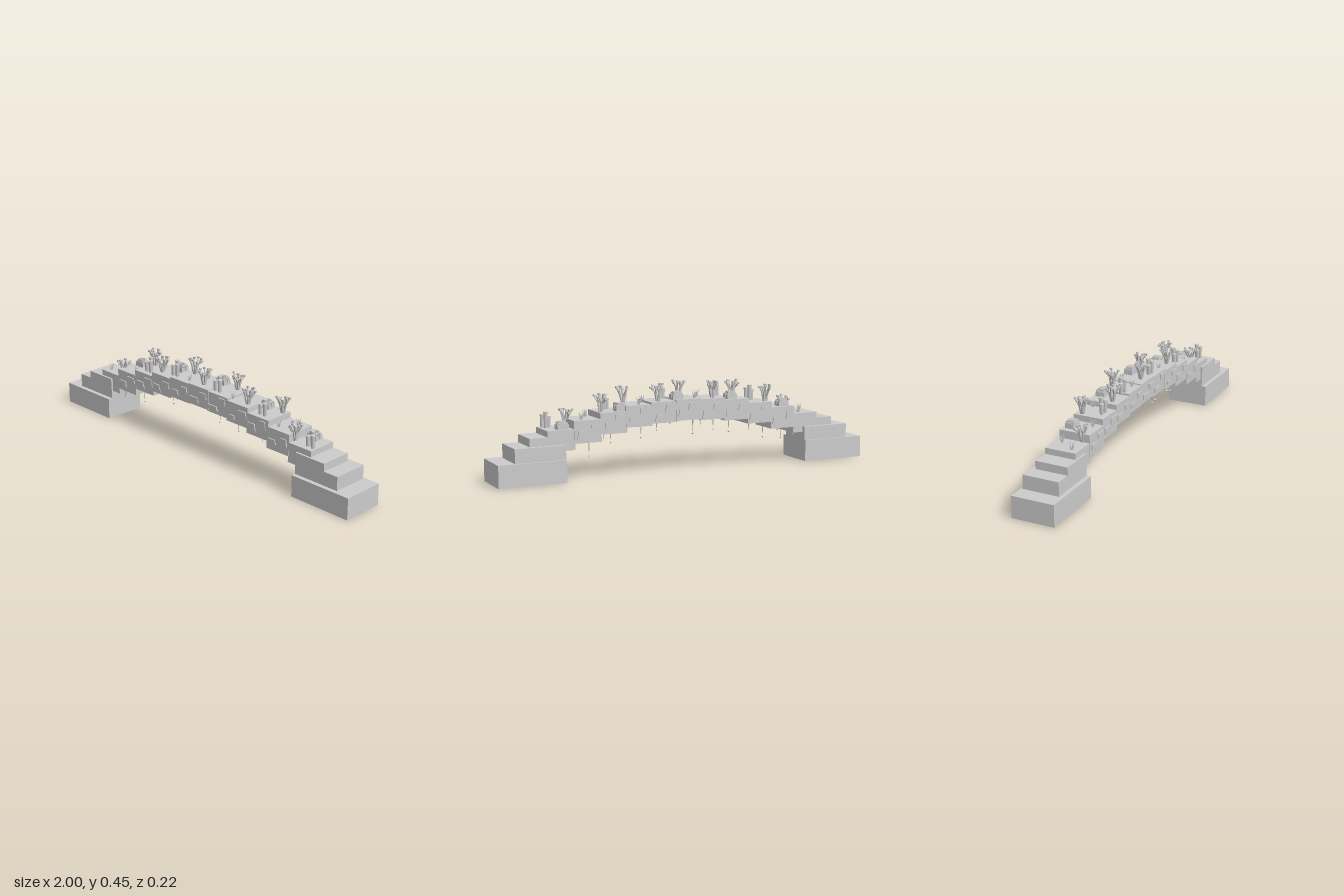
import * as THREE from 'three';

const stone = new THREE.MeshStandardMaterial({ color: 0xcccccc });
stone.name = 'pale stone';

// small seeded generator for natural variation
let seed = 7;
const rand = (a, b) => {
  seed = (seed * 16807) % 2147483647;
  return a + (b - a) * (seed / 2147483647);
};

function add(parent, name, geometry, x, y, z) {
  const mesh = new THREE.Mesh(geometry, stone);
  mesh.name = name;
  mesh.position.set(x, y, z);
  parent.add(mesh);
  return mesh;
}
const box = (parent, name, w, h, d, x, y, z) =>
  add(parent, name, new THREE.BoxGeometry(w, h, d), x, y, z);

// square limb from a to b
const UP = new THREE.Vector3(0, 1, 0);
function limb(parent, name, a, b, size) {
  const dir = b.clone().sub(a);
  const mid = a.clone().add(b).multiplyScalar(0.5);
  const m = box(parent, name, size, dir.length(), size, mid.x, mid.y, mid.z);
  m.quaternion.setFromUnitVectors(UP, dir.normalize());
}

// deck profile by distance (in segments) from the crown
const PITCH = 0.135;
const TOPS = [0.36, 0.355, 0.345, 0.32, 0.29, 0.25];
const BOTTOMS = [0.255, 0.25, 0.24, 0.215, 0.18, 0.15];
const indexAt = (x) => Math.min(5, Math.abs(Math.round(x / PITCH)));

// branching coral with cube tips
function branchCoral() {
  const g = new THREE.Group();
  g.name = 'branchCoral';
  const turn = rand(0, 6);
  for (let i = 0; i < 5; i++) {
    const a = turn + i * 1.257 + rand(-0.3, 0.3);
    const c = Math.cos(a), s = Math.sin(a);
    const root = new THREE.Vector3(c * 0.004, 0, s * 0.004);
    const fork = new THREE.Vector3(c * 0.013, rand(0.035, 0.05), s * 0.013);
    limb(g, 'stem', root, fork, 0.009);
    for (const t of [-0.45, 0.45]) {
      const r = rand(0.02, 0.036);
      const tip = new THREE.Vector3(Math.cos(a + t) * r, rand(0.066, 0.086), Math.sin(a + t) * r);
      limb(g, 'branch', fork, tip, 0.006);
      box(g, 'tip', 0.01, 0.009, 0.01, tip.x, tip.y, tip.z);
    }
  }
  return g;
}

// cluster of upright pipes
function tubeCoral() {
  const g = new THREE.Group();
  g.name = 'tubeCoral';
  [[-0.016, 0.004, 0.055], [0.002, -0.008, 0.08], [0.016, 0.006, 0.066]].forEach(([x, z, h]) => {
    add(g, 'pipe', new THREE.CylinderGeometry(0.011, 0.009, h, 8), x, h / 2, z);
    add(g, 'rim', new THREE.CylinderGeometry(0.0125, 0.0125, 0.006, 8), x, h - 0.003, z);
  });
  return g;
}

// rounded mound with raised ridges
function ridgedCoral() {
  const g = new THREE.Group();
  g.name = 'ridgedCoral';
  box(g, 'mound', 0.056, 0.026, 0.046, 0, 0.013, 0);
  box(g, 'crown', 0.042, 0.012, 0.034, 0, 0.031, 0);
  for (let i = -2; i <= 2; i++) {
    const w = 0.062 - Math.abs(i) * 0.007;
    box(g, 'ridge', w, 0.02, 0.005, 0, 0.022, i * 0.01);
    box(g, 'topRidge', w * 0.65, 0.008, 0.004, 0, 0.037, i * 0.007);
  }
  return g;
}

// fan of thin leaning blades
function grassTuft() {
  const g = new THREE.Group();
  g.name = 'grassTuft';
  for (let i = 0; i < 6; i++) {
    const a = i * Math.PI / 3;
    const blade = add(g, 'blade', new THREE.ConeGeometry(0.0045, rand(0.035, 0.05), 4),
      Math.cos(a) * 0.008, 0.02, Math.sin(a) * 0.008);
    blade.rotation.set(Math.sin(a) * 0.3, 0, -Math.cos(a) * 0.3);
  }
  return g;
}

export function createModel() {
  seed = 7;
  const model = new THREE.Group();
  model.name = 'coralArchBridge';

  // stepped abutments
  for (const side of [-1, 1]) {
    box(model, 'footBlock', 0.34, 0.11, 0.22, side * 0.83, 0.055, 0);
    box(model, 'lowerStep', 0.255, 0.07, 0.187, side * 0.7875, 0.145, -0.006);
    box(model, 'upperStep', 0.175, 0.045, 0.168, side * 0.7475, 0.1975, 0.005);
  }

  // arched deck with thin wall panels
  for (let k = -5; k <= 5; k++) {
    const i = Math.abs(k), x = k * PITCH;
    const top = TOPS[i], bottom = BOTTOMS[i], h = top - bottom;
    const shift = (i % 2) * 0.003;
    const depth = 0.16 - shift;
    box(model, 'deckSegment', PITCH + 0.006, h, depth, x, bottom + h / 2, 0);
    if (i === 5) continue;
    for (const face of [-1, 1]) {
      for (const n of [-1, 1]) {
        const w = rand(0.03, 0.056), ph = rand(0.018, 0.034);
        const px = x + n * 0.033 + rand(-0.006, 0.006);
        const py = bottom + h * (n * face > 0 ? 0.68 : 0.36) + rand(-0.01, 0.01);
        box(model, 'wallPanel', w, ph, 0.008, px, py, face * (depth / 2 + 0.002));
        box(model, 'panelChip', w * 0.4, ph * 0.55, 0.007, px + w * 0.4, py - ph * 0.5,
          face * (depth / 2 + 0.001));
      }
    }
  }

  // two rows of growth along the deck
  const makers = { b: branchCoral, t: tubeCoral, r: ridgedCoral, g: grassTuft };
  const rows = [
    { z: -0.043, start: -0.655, step: 0.1012, kinds: 'grbgrbgrbgrbgr' },
    { z: 0.039, start: -0.71, step: 0.1015, kinds: 'gbgtbtgbtgbtgbt' },
  ];
  for (const { z, start, step, kinds } of rows) {
    [...kinds].forEach((kind, n) => {
      const x = start + n * step;
      const plant = makers[kind]();
      plant.position.set(x, TOPS[indexAt(x)] - 0.002, z + (kind === 'g' ? 0.002 : 0));
      model.add(plant);
    });
  }

  // hanging roots, some with a bulb
  const roots = [-0.645, -0.6, -0.53, -0.475, -0.35, -0.265, -0.19, -0.155, -0.11, -0.03,
    0.07, 0.12, 0.16, 0.22, 0.33, 0.39, 0.41, 0.52, 0.645];
  roots.forEach((x, n) => {
    const len = [0.045, 0.07, 0.03, 0.055][n % 4];
    const y = BOTTOMS[indexAt(x)], z = [0, 0.045, -0.04, 0.015, -0.06][n % 5];
    const root = add(model, 'hangingRoot', new THREE.ConeGeometry(0.004, len, 4), x, y - len / 2, z);
    root.rotation.x = Math.PI;
    if (n % 2) add(model, 'rootBulb', new THREE.OctahedronGeometry(0.006), x, y - len, z);
  });

  return model;
}
